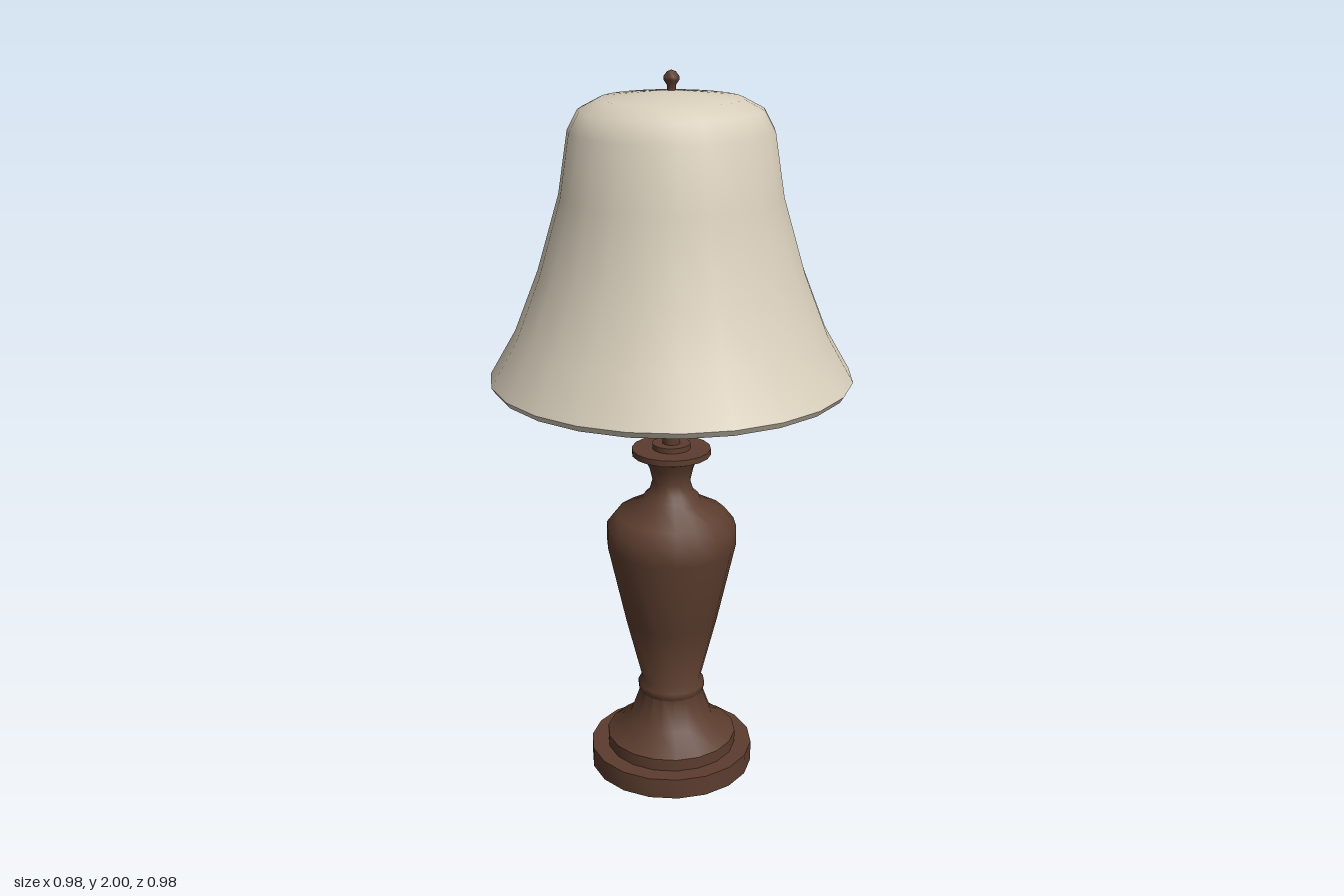
import * as THREE from 'three';
import { toCreasedNormals } from 'three/addons/utils/BufferGeometryUtils.js';

// Turned part from [radius, height] points, outside listed from bottom to top
function turned(name, points, sides, material, crease = 0.6) {
  const profile = points.map(([r, y]) => new THREE.Vector2(r, y));
  const lathe = new THREE.LatheGeometry(profile, sides, -Math.PI / 2);
  const mesh = new THREE.Mesh(toCreasedNormals(lathe, crease), material);
  mesh.name = name;
  return mesh;
}

export function createModel() {
  const wood = new THREE.MeshStandardMaterial({ color: 0x5c3d2e });
  wood.name = 'brown wood';
  const fabric = new THREE.MeshStandardMaterial({ color: 0xd8cebb });
  fabric.name = 'cream fabric';

  const lamp = new THREE.Group();
  lamp.name = 'tableLamp';

  // Round foot
  lamp.add(turned('foot', [[0, 0], [0.235, 0], [0.235, 0.06], [0, 0.06]], 18, wood));

  // Vase-shaped body with pedestal, ring and neck
  lamp.add(turned('body', [
    [0.187, 0.055], [0.187, 0.095], [0.12, 0.145], [0.09, 0.23],
    [0.096, 0.24], [0.096, 0.255], [0.085, 0.272],
    [0.132, 0.46], [0.183, 0.69], [0.183, 0.747], [0.155, 0.783],
    [0.085, 0.82], [0.078, 0.835], [0.062, 0.85], [0.053, 0.88],
    [0.062, 0.92], [0.078, 0.952], [0, 0.952],
  ], 18, wood, 0.9));

  // Disc and small collar on top of the neck
  lamp.add(turned('neckDisc', [[0, 0.95], [0.09, 0.95], [0.11, 0.958], [0.11, 0.975], [0, 0.975]], 18, wood));
  lamp.add(turned('collar', [[0.053, 0.97], [0.053, 0.99], [0, 0.99]], 18, wood));

  // Rod up to the top of the shade
  lamp.add(turned('rod', [[0.025, 0.98], [0.025, 1.93]], 12, wood));

  // Bell shade: inner wall downwards, rim, then outer wall upwards
  lamp.add(turned('shade', [
    [0, 1.935], [0.18, 1.915], [0.23, 1.885], [0.255, 1.84], [0.28, 1.68],
    [0.34, 1.476], [0.4, 1.31], [0.462, 1.18], [0.462, 1.17],
    [0.482, 1.17], [0.493, 1.187], [0.422, 1.31], [0.357, 1.476],
    [0.297, 1.68], [0.271, 1.847], [0.243, 1.9], [0.188, 1.929], [0, 1.95],
  ], 23, fabric, 0.9));

  // Finial
  lamp.add(turned('finial', [
    [0.012, 1.94], [0.012, 1.962], [0.021, 1.975], [0.021, 1.983], [0.012, 1.995], [0, 2],
  ], 12, wood, 0.9));

  return lamp;
}
